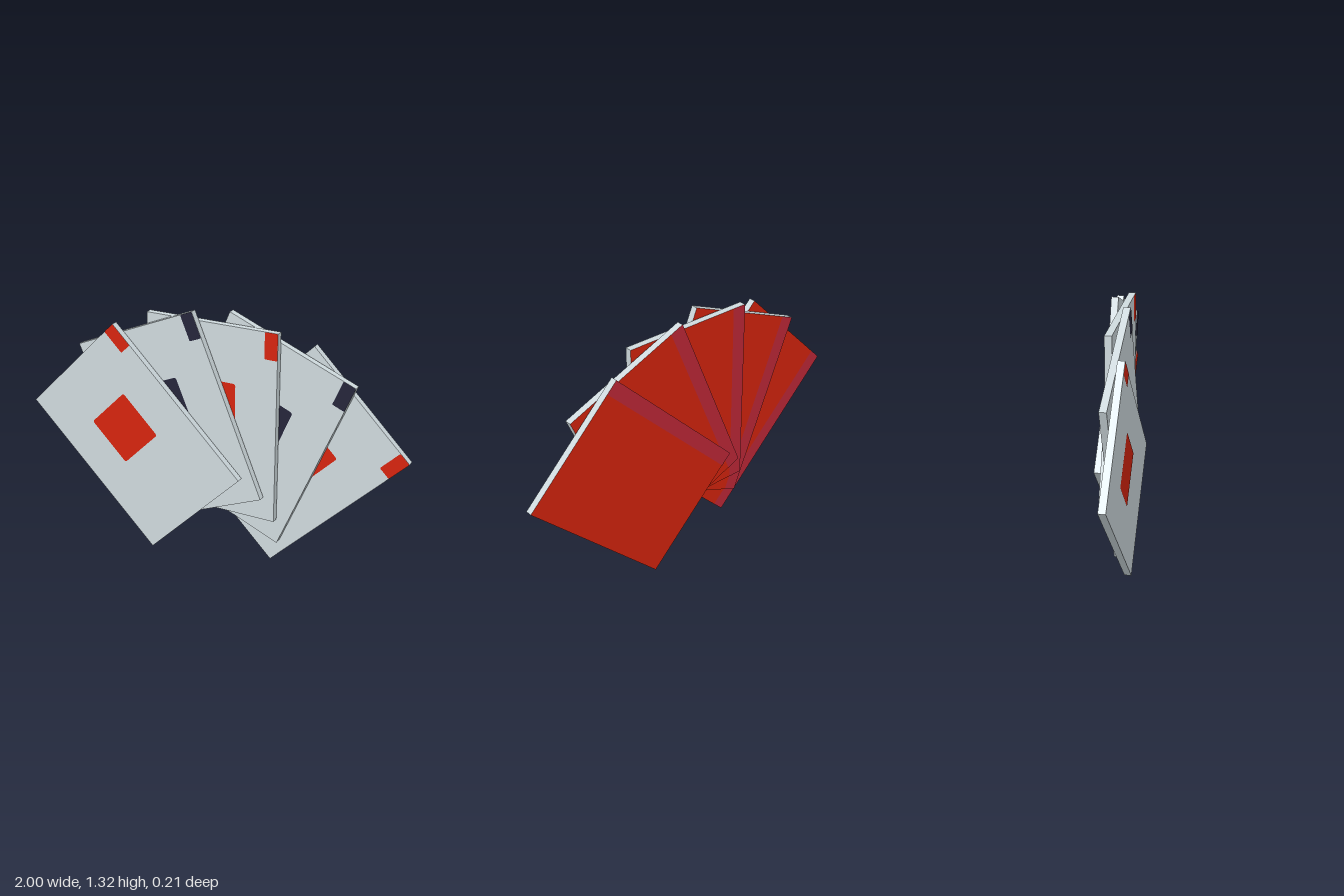
import * as THREE from 'three';

const W = 0.707, H = 0.99, T = 0.035;   // card size
const LIFT = 0.0015;                    // painted faces sit just off the card

const material = (name, color) => {
  const m = new THREE.MeshStandardMaterial({ color });
  m.name = name;
  return m;
};

// Flat patch with slightly softened corners, given by its bounds
function patch(x0, y0, x1, y1, r) {
  const s = new THREE.Shape();
  s.moveTo(x0 + r, y0);
  s.lineTo(x1 - r, y0);
  s.quadraticCurveTo(x1, y0, x1, y0 + r);
  s.lineTo(x1, y1 - r);
  s.quadraticCurveTo(x1, y1, x1 - r, y1);
  s.lineTo(x0 + r, y1);
  s.quadraticCurveTo(x0, y1, x0, y1 - r);
  s.lineTo(x0, y0 + r);
  s.quadraticCurveTo(x0, y0, x0 + r, y0);
  return new THREE.ShapeGeometry(s, 3);
}

export function createModel() {
  const paper = material('paper', 0xcfdade);
  const red = material('red', 0xd6240e);
  const ink = material('darkInk', 0x25253a);
  const crimson = material('crimson', 0xbf2838);

  const bodyGeo = new THREE.BoxGeometry(W, H, T);
  const pipGeo = patch(-0.135, -0.065, 0.135, 0.205, 0.012);
  const markGeo = patch(W / 2 - 0.067, H / 2 - 0.135, W / 2, H / 2, 0.006);
  const stripeGeo = new THREE.PlaneGeometry(0.075, H);

  function makeCard(suit) {
    const card = new THREE.Group();
    const add = (name, geo, mat) => {
      const mesh = new THREE.Mesh(geo, mat);
      mesh.name = name;
      card.add(mesh);
      return mesh;
    };
    // paper card whose back face is red
    add('cardBody', bodyGeo, [paper, paper, paper, paper, paper, red]);
    add('centrePip', pipGeo, suit).position.z = T / 2 + LIFT;
    add('cornerMark', markGeo, suit).position.z = T / 2 + LIFT;
    // crimson band along one long edge of the back
    const stripe = add('backStripe', stripeGeo, crimson);
    stripe.position.set(-W / 2 + 0.0375, 0, -T / 2 - LIFT);
    stripe.rotation.y = Math.PI;
    return card;
  }

  // Five cards fanned about a common pivot, alternating suits
  const model = new THREE.Group();
  model.name = 'cardFan';
  const pivotY = 0.2, radius = 0.568;
  for (let i = 0; i < 5; i++) {
    const angle = (2 - i) * Math.PI / 8;
    const card = makeCard(i % 2 ? ink : red);
    card.name = `card${i + 1}`;
    card.position.set(-Math.sin(angle) * radius, pivotY + Math.cos(angle) * radius, (2 - i) * 0.0425);
    card.rotation.z = angle;
    model.add(card);
  }
  return model;
}
